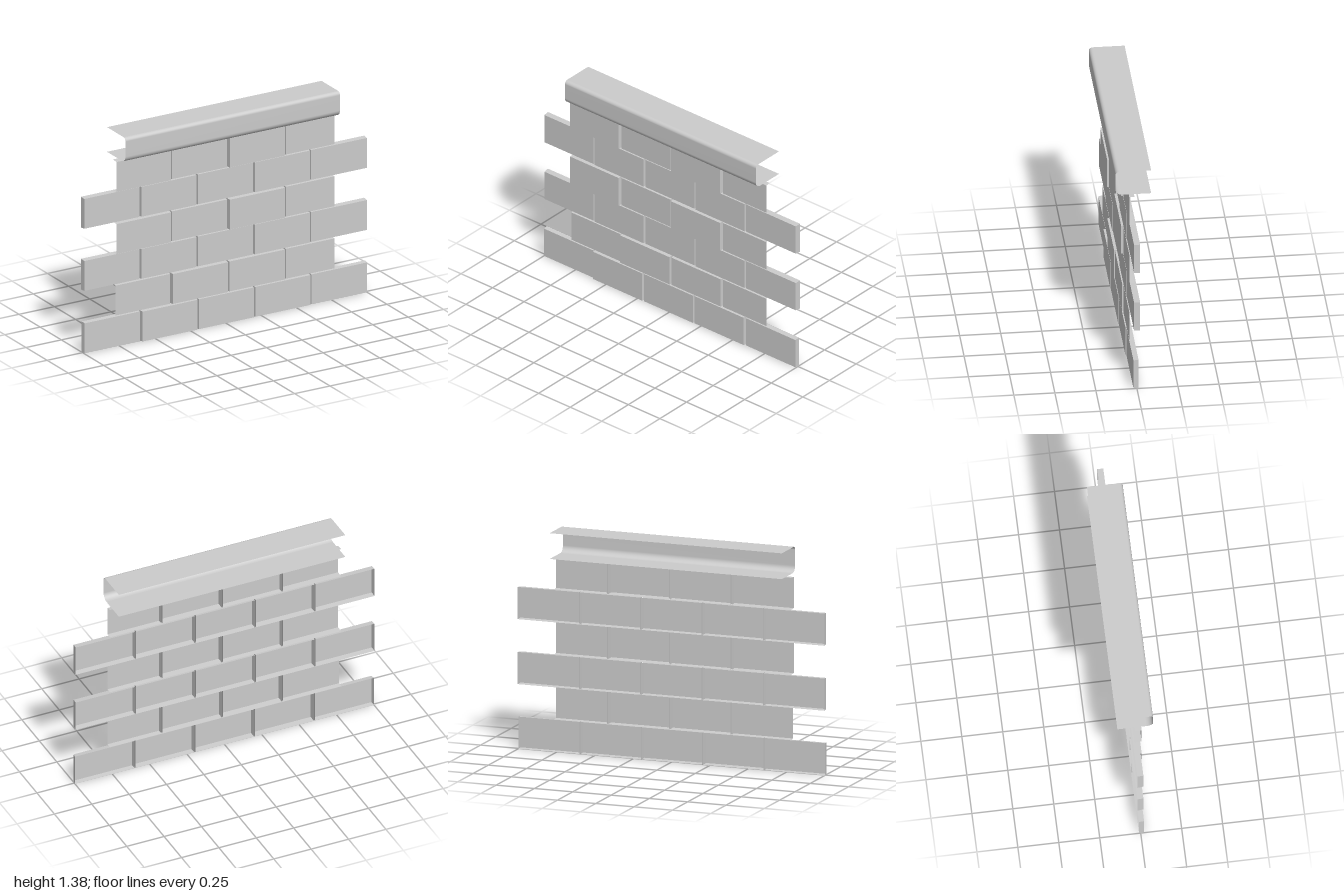
import * as THREE from 'three';

const material = new THREE.MeshStandardMaterial({ color: 0xcccccc, side: THREE.DoubleSide });

// Hollow brick shell, open at the back: front panel plus a slightly tapered rim.
// Rim sides in order: bottom, +x, top, -x; openSide leaves one out (-1 for none).
function brickShell(x0, x1, y0, y1, zBack, zFront, openSide) {
  const t = 0.003;
  const l = openSide === 3 ? 0 : t, r = openSide === 1 ? 0 : t;
  const back = [[x0, y0, zBack], [x1, y0, zBack], [x1, y1, zBack], [x0, y1, zBack]];
  const front = [
    [x0 + l, y0 + t, zFront], [x1 - r, y0 + t, zFront],
    [x1 - r, y1 - t, zFront], [x0 + l, y1 - t, zFront],
  ];
  const points = [];
  const quad = (a, b, c, d) => points.push(...a, ...b, ...c, ...a, ...c, ...d);
  quad(...front);
  for (let i = 0; i < 4; i++) {
    const j = (i + 1) % 4;
    if (i !== openSide) quad(back[i], back[j], front[j], front[i]);
  }
  const geometry = new THREE.BufferGeometry();
  geometry.setAttribute('position', new THREE.Float32BufferAttribute(points, 3));
  geometry.computeVertexNormals();
  return geometry;
}

// Curved capping: a C section open to the back, swept along x.
function capGeometry(x0, x1) {
  const section = [[0.08, 1.38]];
  const corner = (cz, cy, radius, from, to, steps) => {
    for (let i = 0; i <= steps; i++) {
      const a = from + (to - from) * i / steps;
      section.push([cz + radius * Math.cos(a), cy + radius * Math.sin(a)]);
    }
  };
  section.length = 0;
  corner(0.083, 1.358, 0.022, Math.PI / 2, 0, 6);
  corner(0.065, 1.26, 0.04, 0, -Math.PI / 2, 8);

  // Rounded front, smooth shaded
  const points = [], index = [];
  section.forEach(([z, y], i) => {
    points.push(x0, y, z, x1, y, z);
    if (i) {
      const a = 2 * (i - 1);
      index.push(a, a + 2, a + 1, a + 1, a + 2, a + 3);
    }
  });
  const geometry = new THREE.BufferGeometry();
  geometry.setAttribute('position', new THREE.Float32BufferAttribute(points, 3));
  geometry.setIndex(index);
  geometry.computeVertexNormals();
  return geometry;
}

// Horizontal sheet between two depths, facing up or down
function sheet(x0, x1, zBack, zFront, y, up) {
  const geometry = new THREE.PlaneGeometry(x1 - x0, zFront - zBack);
  geometry.rotateX(up ? -Math.PI / 2 : Math.PI / 2);
  geometry.translate((x0 + x1) / 2, y, (zBack + zFront) / 2);
  return geometry;
}

export function createModel() {
  const group = new THREE.Group();
  group.name = 'brickWall';
  const add = (parent, name, geometry) => {
    const mesh = new THREE.Mesh(geometry, material);
    mesh.name = name;
    parent.add(mesh);
  };

  // Courses: alternately five whole bricks and four staggered ones
  const longEdges = [-1, -0.602, -0.202, 0.198, 0.598, 1];
  const shortEdges = [-0.78, -0.388, 0.014, 0.417, 0.767];
  const low = 0.021, high = 0.033;
  const courses = [
    { edges: longEdges, back: -0.01, fronts: [low, high, 0.03, 0.027, low] },
    { edges: shortEdges, back: -0.01, fronts: [low, high, 0.028, low] },
    { edges: longEdges, back: -0.02, fronts: [0.017, low, 0.017, low, 0.017] },
    { edges: shortEdges, back: -0.01, fronts: [high, low, high, low] },
    { edges: longEdges, back: -0.02, fronts: [0.017, low, 0.017, low, 0.017] },
    { edges: shortEdges, back: -0.01, fronts: [high, low, high, low] },
  ];
  const gap = 0.003, pitch = 0.2017;
  courses.forEach(({ edges, back, fronts }, row) => {
    const course = new THREE.Group();
    course.name = `course${row + 1}`;
    const y = row * pitch;
    const last = fronts.length - 1;
    fronts.forEach((front, i) => {
      // Staggered courses are cut open at their outer ends
      const openSide = row % 2 === 0 ? -1 : i === 0 ? 3 : i === last ? 1 : -1;
      const x0 = edges[i] + (i ? gap : 0);
      const x1 = edges[i + 1] - (i < last ? gap : 0);
      add(course, 'brick', brickShell(x0, x1, y, y + pitch - 0.002, back, front, openSide));
    });
    group.add(course);
  });

  // Capping along the top
  const cap = new THREE.Group();
  cap.name = 'capping';
  const left = -0.76, right = 0.755;
  add(cap, 'capFront', capGeometry(left, right));
  add(cap, 'capTop', sheet(left, right, -0.113, 0.083, 1.38, true));
  add(cap, 'capBottom', sheet(left, right, -0.113, 0.065, 1.22, false));
  group.add(cap);
  return group;
}
